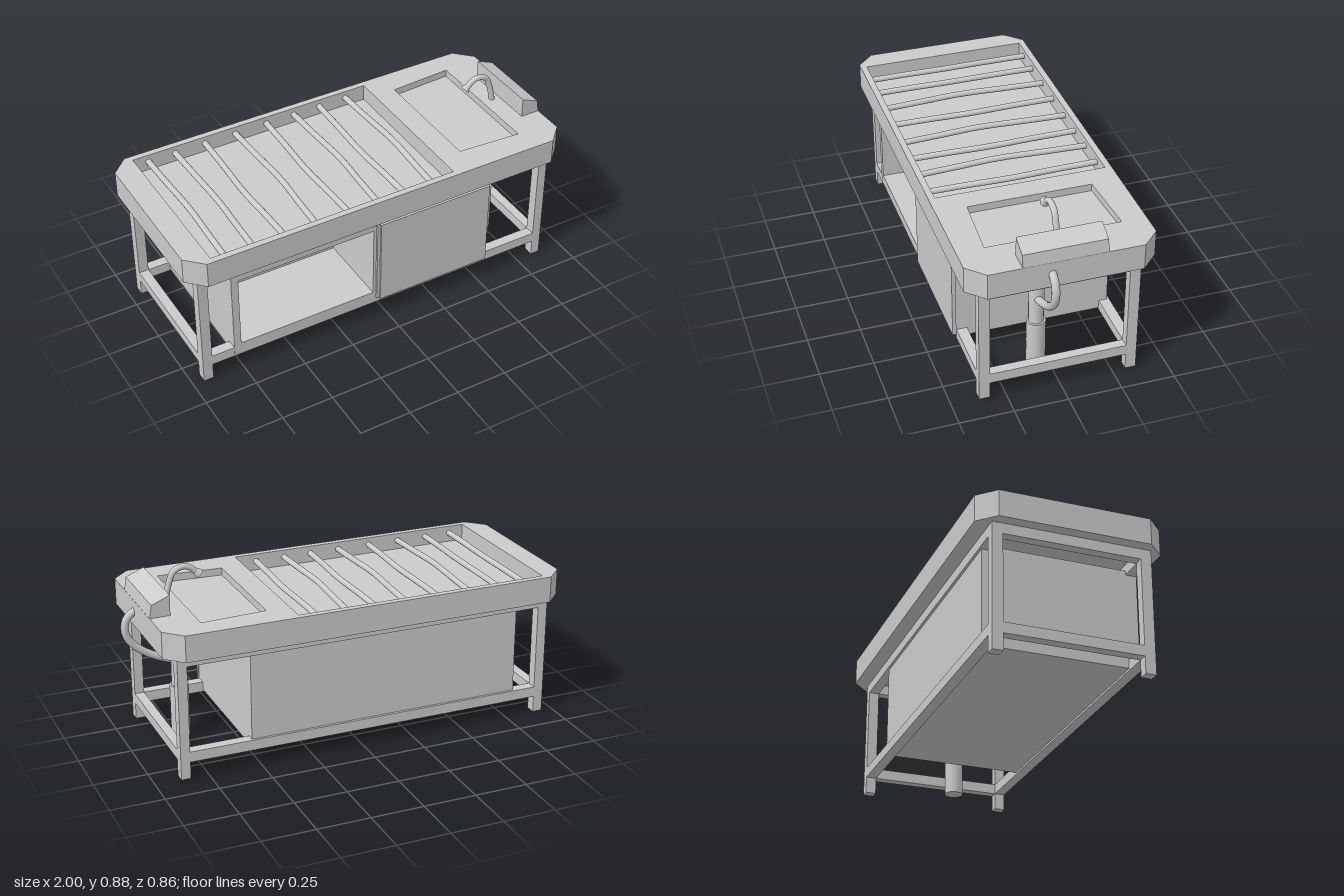
import * as THREE from 'three';

const material = new THREE.MeshStandardMaterial({ color: 0xcccccc });

function createMesh(name, geometry, parent) {
  const mesh = new THREE.Mesh(geometry, material);
  mesh.name = name;
  parent.add(mesh);
  return mesh;
}

// Box given by its minimum and maximum on each axis
function box(name, x0, x1, y0, y1, z0, z1, parent) {
  const g = new THREE.BoxGeometry(x1 - x0, y1 - y0, z1 - z0);
  g.translate((x0 + x1) / 2, (y0 + y1) / 2, (z0 + z1) / 2);
  return createMesh(name, g, parent);
}

const toPoints = (list) => list.map(([x, y]) => new THREE.Vector2(x, y));

// Horizontal plate drawn in x/z, from y0 up to y1, with optional holes
function plate(name, outline, holes, y0, y1, parent) {
  const shape = new THREE.Shape(toPoints(outline));
  shape.holes = holes.map((h) => new THREE.Path(toPoints(h)));
  const g = new THREE.ExtrudeGeometry(shape, { depth: y1 - y0, bevelEnabled: false });
  g.rotateX(Math.PI / 2).translate(0, y1, 0);
  return createMesh(name, g, parent);
}

// Upright plate drawn in x/y, from z0 to z1
function slab(name, outline, holes, z0, z1, parent) {
  const shape = new THREE.Shape(toPoints(outline));
  shape.holes = holes.map((h) => new THREE.Path(toPoints(h)));
  const g = new THREE.ExtrudeGeometry(shape, { depth: z1 - z0, bevelEnabled: false });
  return createMesh(name, g.translate(0, 0, z0), parent);
}

const rect = (x0, x1, y0, y1) => [[x0, y0], [x1, y0], [x1, y1], [x0, y1]];

// Tube through x/y points at a fixed z
function pipe(name, points, z, radius, parent) {
  const curve = new THREE.CatmullRomCurve3(points.map(([x, y]) => new THREE.Vector3(x, y, z)));
  return createMesh(name, new THREE.TubeGeometry(curve, 32, radius, 16), parent);
}

function createModel() {
  const model = new THREE.Group();
  model.name = 'washTable';

  // Table top with chamfered corners, roller tray and sink
  const top = new THREE.Group();
  top.name = 'tableTop';
  model.add(top);
  const outline = [[-1, -0.35], [-0.92, -0.43], [0.86, -0.43], [0.94, -0.35],
    [0.94, 0.35], [0.86, 0.43], [-0.92, 0.43], [-1, 0.35]];
  const tray = rect(-0.89, 0.33, -0.4, 0.4);
  const sink = [[0.44, -0.295], [0.75, -0.315], [0.75, 0.305], [0.44, 0.285]];
  plate('tableBase', outline, [], 0.59, 0.635, top);
  plate('tableRim', outline, [tray, sink], 0.635, 0.715, top);
  plate('sinkFloor', sink, [], 0.63, 0.68, top);

  // Slightly bowed bars across the tray
  const bars = [[-0.815, 0.01], [-0.68, 0.01], [-0.527, -0.015], [-0.37, 0.015],
    [-0.205, -0.015], [-0.058, 0.015], [0.08, -0.015], [0.225, 0.015]];
  bars.forEach(([x, bow], i) => {
    const curve = new THREE.CatmullRomCurve3([
      new THREE.Vector3(x, 0.68, -0.402),
      new THREE.Vector3(x + bow * 0.4, 0.683, -0.2),
      new THREE.Vector3(x + bow, 0.685, 0.03),
      new THREE.Vector3(x + bow * 0.4, 0.683, 0.22),
      new THREE.Vector3(x, 0.68, 0.402)]);
    createMesh(`trayBar${i + 1}`, new THREE.TubeGeometry(curve, 12, 0.014, 12), top);
  });

  // Legs and rails
  const frame = new THREE.Group();
  frame.name = 'frame';
  model.add(frame);
  const legX = [[-0.947, -0.9], [0.835, 0.88]];
  const legZ = [[-0.362, -0.312], [0.322, 0.372]];
  for (const [x0, x1] of legX) {
    for (const [z0, z1] of legZ) box('leg', x0, x1, 0, 0.59, z0, z1, frame);
  }
  for (const [y0, y1] of [[0.08, 0.13], [0.54, 0.59]]) {
    for (const [z0, z1] of legZ) box('longRail', -0.9, 0.835, y0, y1, z0, z1, frame);
    for (const [x0, x1] of legX) box('endRail', x0, x1, y0, y1, -0.312, 0.322, frame);
  }

  // Cabinet: solid back half, open compartment in front, sliding door
  const cabinet = new THREE.Group();
  cabinet.name = 'cabinet';
  model.add(cabinet);
  box('cabinetBack', -0.79, 0.54, 0.09, 0.56, -0.35, 0, cabinet);
  slab('cabinetFront', rect(-0.79, 0.54, 0.09, 0.56),
    [rect(-0.755, -0.07, 0.145, 0.51)], 0, 0.374, cabinet);
  box('slidingDoor', -0.04, 0.545, 0.107, 0.545, 0.374, 0.392, cabinet);
  box('doorEdge', -0.055, -0.04, 0.11, 0.54, 0.374, 0.384, cabinet);

  // Splash block at the tap end
  slab('splashBlock', [[0.845, 0.71], [0.94, 0.71], [0.93, 0.775], [0.845, 0.81]],
    [], -0.185, 0.197, model);

  // Tap with a flared nozzle
  const tap = new THREE.Group();
  tap.name = 'tap';
  model.add(tap);
  pipe('tapSpout', [[0.808, 0.71], [0.79, 0.79], [0.765, 0.845], [0.715, 0.862],
    [0.685, 0.85], [0.66, 0.828]], 0, 0.014, tap);
  const nozzle = createMesh('tapNozzle', new THREE.CylinderGeometry(0.014, 0.023, 0.022, 16), tap);
  nozzle.position.set(0.655, 0.825, 0);
  nozzle.rotation.z = -0.85;

  // Drain and overflow hose
  const drain = new THREE.Group();
  drain.name = 'drain';
  model.add(drain);
  const sleeve = createMesh('drainSleeve', new THREE.CylinderGeometry(0.044, 0.044, 0.255, 24), drain);
  sleeve.position.set(0.74, 0.1375, 0.065);
  pipe('drainPipe', [[0.74, 0.2], [0.74, 0.32], [0.738, 0.42], [0.725, 0.49], [0.705, 0.54],
    [0.69, 0.6]], 0.065, 0.035, drain);
  pipe('overflowHose', [[0.75, 0.39], [0.81, 0.41], [0.89, 0.45], [0.955, 0.505], [0.982, 0.56],
    [0.978, 0.615], [0.95, 0.65], [0.91, 0.662]], 0.065, 0.018, drain);

  return model;
}

export { createModel };
